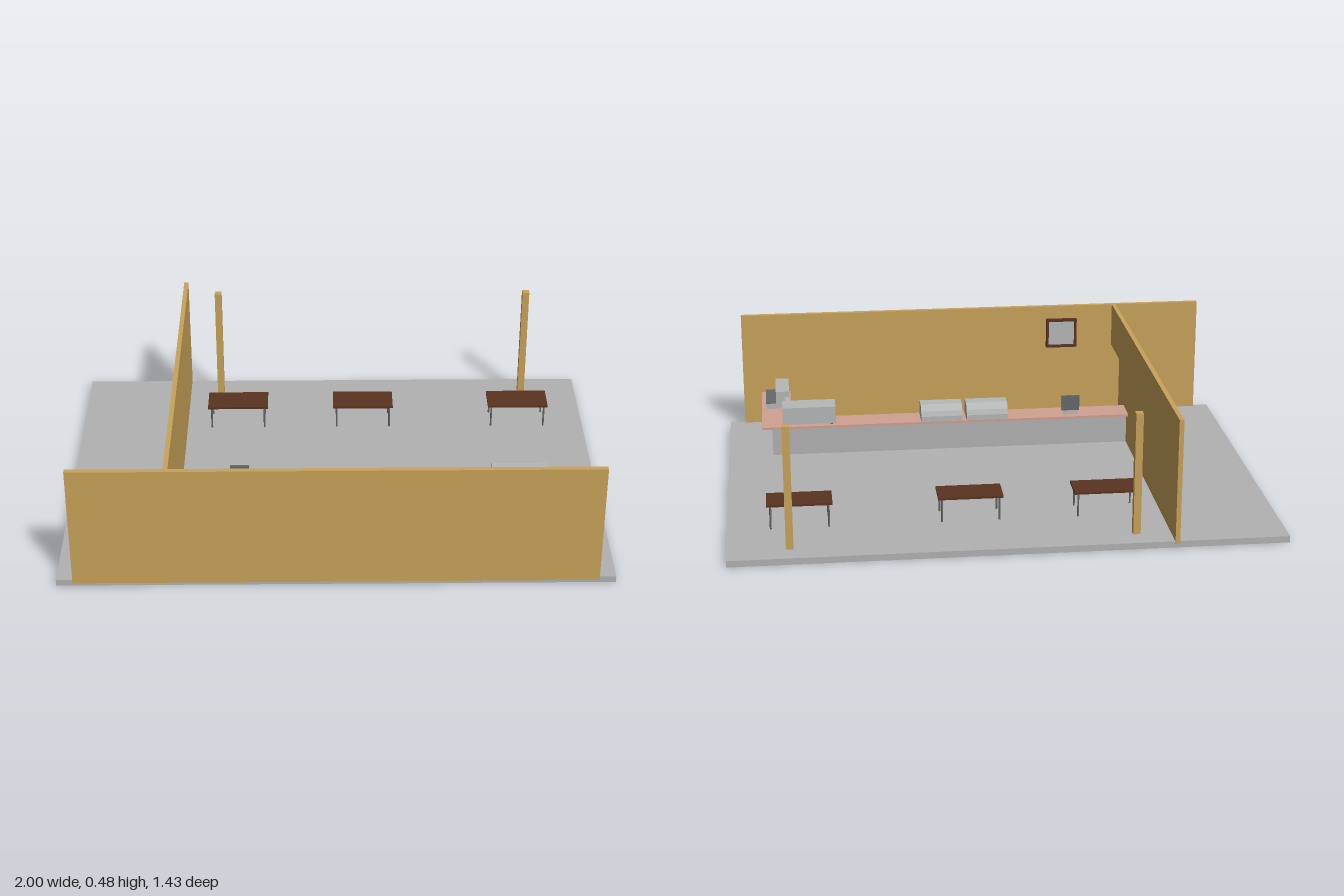
import * as THREE from 'three';

const mat = (name, color) => {
  const m = new THREE.MeshStandardMaterial({ color });
  m.name = name;
  return m;
};

export function createModel() {
  const model = new THREE.Group();
  model.name = 'cafe';
  const gold = mat('ochre wall', 0xc9a35a);
  const floorGrey = mat('floor grey', 0xb2b2b2);
  const brown = mat('dark wood', 0x5a3421);
  const pink = mat('pink counter', 0xd0a191);
  const steel = mat('steel', 0xb6b8b8);
  const dark = mat('dark grey', 0x66686a);

  // Box given by its min and max corners
  const box = (name, m, x0, x1, y0, y1, z0, z1, parent = model) => {
    const mesh = new THREE.Mesh(new THREE.BoxGeometry(x1 - x0, y1 - y0, z1 - z0), m);
    mesh.position.set((x0 + x1) / 2, (y0 + y1) / 2, (z0 + z1) / 2);
    mesh.name = name;
    parent.add(mesh);
    return mesh;
  };
  const group = (name) => {
    const g = new THREE.Group();
    g.name = name;
    model.add(g);
    return g;
  };
  const shapeOf = (pts) => new THREE.Shape(pts.map(([a, b]) => new THREE.Vector2(a, b)));
  // Side profile of (z, y) points, extruded from x0 to x1
  const sideProfile = (name, m, pts, x0, x1, parent = model) => {
    const geo = new THREE.ExtrudeGeometry(shapeOf(pts), { depth: x1 - x0, bevelEnabled: false });
    geo.rotateY(-Math.PI / 2).translate(x1, 0, 0);
    const mesh = new THREE.Mesh(geo, m);
    mesh.name = name;
    parent.add(mesh);
  };

  // Floor slab and walls; the side wall has a doorway beside the front wall
  const top = 0.483, ground = 0.024, counterY = 0.155;
  box('floor', floorGrey, -1, 1, 0, ground, -0.709, 0.706);
  box('frontWall', gold, -0.94, 0.94, 0.015, top, 0.695, 0.714);
  sideProfile('sideWall', gold, [[-0.714, 0.015], [0.495, 0.015], [0.495, 0.31],
    [0.695, 0.31], [0.695, top], [-0.714, top]], -0.6, -0.583);

  // Two free-standing posts
  for (const x of [-0.459, 0.778])
    box('post', gold, x - 0.0135, x + 0.0135, ground, top, -0.632, -0.605);

  // Three tables with thin legs
  for (const x of [-0.38, 0.119, 0.738]) {
    const table = group('table');
    box('tableTop', brown, x - 0.119, x + 0.119, 0.111, 0.12, -0.449, -0.331, table);
    for (const sx of [-1, 1]) for (const sz of [-1, 1]) {
      const leg = new THREE.Mesh(new THREE.CylinderGeometry(0.0035, 0.0035, 0.087, 8), dark);
      leg.position.set(x + sx * 0.105, 0.0675, -0.39 + sz * 0.052);
      leg.name = 'tableLeg';
      table.add(leg);
    }
  }

  // L-shaped counter: grey base with an overhanging top
  const lShape = (name, m, pts, y0, y1) => {
    const geo = new THREE.ExtrudeGeometry(shapeOf(pts), { depth: y1 - y0, bevelEnabled: false });
    geo.rotateX(Math.PI / 2).translate(0, y1, 0);
    const mesh = new THREE.Mesh(geo, m);
    mesh.name = name;
    model.add(mesh);
  };
  lShape('counterBase', floorGrey, [[-0.583, 0.306], [0.828, 0.306], [0.828, 0.695],
    [0.765, 0.695], [0.765, 0.36], [-0.583, 0.36]], ground, 0.146);
  lShape('counterTop', pink, [[-0.583, 0.263], [0.868, 0.263], [0.868, 0.695],
    [0.75, 0.695], [0.75, 0.373], [-0.583, 0.373]], 0.146, counterY);

  // Display cases with a sloping front
  for (const x of [-0.1, 0.08]) {
    const c = group('displayCase');
    sideProfile('caseBody', steel, [[0.265, counterY], [0.352, counterY], [0.352, 0.215],
      [0.3, 0.215], [0.284, 0.209], [0.272, 0.195], [0.265, 0.175]], x, x + 0.163, c);
  }

  // Oven on small feet with a door plate
  const oven = group('oven');
  box('ovenBody', steel, 0.579, 0.786, 0.162, 0.23, 0.27, 0.362, oven);
  box('ovenDoor', steel, 0.63, 0.776, 0.17, 0.222, 0.362, 0.367, oven);
  for (const x of [0.59, 0.765]) for (const z of [0.28, 0.343])
    box('ovenFoot', dark, x, x + 0.01, counterY, 0.162, z, z + 0.01, oven);

  // Coffee machine: base with drip tray, back panel and overhanging head
  const coffee = group('coffeeMachine');
  box('machineBase', steel, 0.757, 0.85, counterY, 0.177, 0.483, 0.649, coffee);
  box('dripTray', dark, 0.81, 0.85, 0.177, 0.181, 0.483, 0.649, coffee);
  box('machineBack', steel, 0.775, 0.81, 0.177, 0.205, 0.483, 0.649, coffee);
  box('machineHead', steel, 0.757, 0.81, 0.203, 0.226, 0.483, 0.649, coffee);
  for (const z of [0.53, 0.6])
    box('spout', dark, 0.76, 0.772, 0.192, 0.203, z - 0.006, z + 0.006, coffee);

  // Cash register: tapering body with an upright screen
  const register = group('cashRegister');
  const body = new THREE.ExtrudeGeometry(shapeOf([[-0.382, 0.29], [-0.324, 0.29],
    [-0.333, 0.357], [-0.373, 0.357]]), { depth: 0.03, bevelEnabled: false });
  const bodyMesh = new THREE.Mesh(body.rotateX(Math.PI / 2).translate(0, 0.185, 0), steel);
  bodyMesh.name = 'registerBody';
  register.add(bodyMesh);
  box('registerScreen', dark, -0.388, -0.318, 0.175, 0.235, 0.281, 0.291, register);

  // Framed board on the inside of the front wall
  const board = group('wallBoard');
  const rim = 0.01, bx0 = -0.435, bx1 = -0.309, by0 = 0.31, by1 = 0.43;
  box('frameBottom', brown, bx0, bx1, by0, by0 + rim, 0.678, 0.695, board);
  box('frameTop', brown, bx0, bx1, by1 - rim, by1, 0.678, 0.695, board);
  for (const x of [bx0, bx1 - rim])
    box('frameSide', brown, x, x + rim, by0 + rim, by1 - rim, 0.678, 0.695, board);
  box('boardPanel', steel, bx0 + rim, bx1 - rim, by0 + rim, by1 - rim, 0.687, 0.695, board);

  return model;
}
